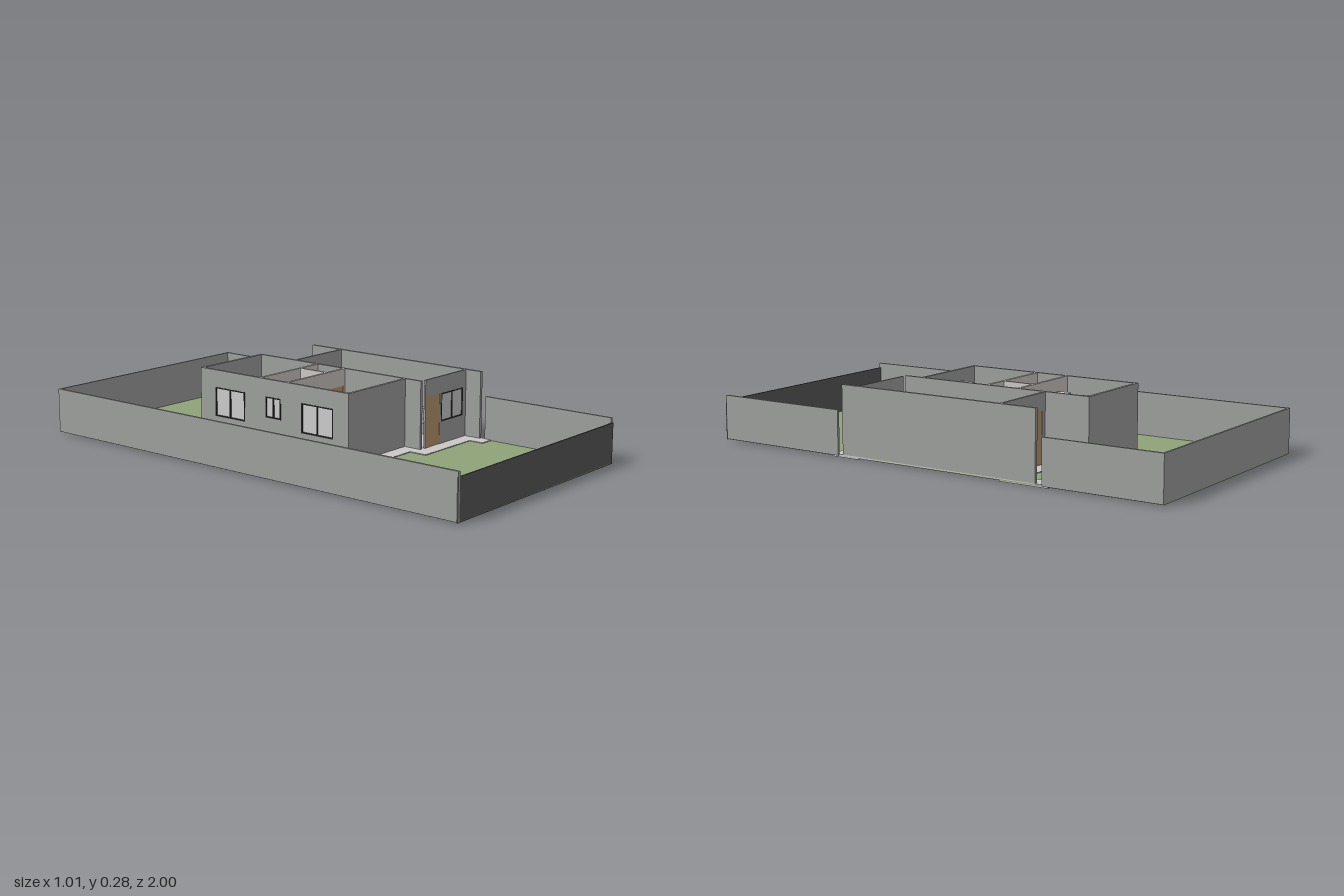
import * as THREE from 'three';

const mat = (name, color, side = THREE.FrontSide) => {
  const m = new THREE.MeshStandardMaterial({ color, side });
  m.name = name;
  return m;
};

export function createModel() {
  const model = new THREE.Group();
  model.name = 'walledHouse';
  const grass = mat('grass', 0x8fa378), concrete = mat('concrete', 0xc9c8c7);
  const gray = mat('wallGray', 0x9d9f9d), dark = mat('darkGray', 0x575759);
  const plaster = mat('plaster', 0xccc7c4), wood = mat('wood', 0xb8956c);
  const glass = mat('glass', 0xcbcbcb), black = mat('frameBlack', 0x2c2c2e);

  const H = 0.285, FENCE = 0.185, BASE = 0.006, HEAD = 0.215;

  // Box given by its minimum and maximum on each axis
  const box = (name, m, x0, x1, y0, y1, z0, z1, parent = model) => {
    const mesh = new THREE.Mesh(new THREE.BoxGeometry(x1 - x0, y1 - y0, z1 - z0), m);
    mesh.position.set((x0 + x1) / 2, (y0 + y1) / 2, (z0 + z1) / 2);
    mesh.name = name;
    parent.add(mesh);
    return mesh;
  };

  // Flat slab from an outline of x, z points
  const slab = (name, m, points, y0, y1) => {
    const shape = new THREE.Shape(points.map(([x, z]) => new THREE.Vector2(x, -z)));
    const geo = new THREE.ExtrudeGeometry(shape, { depth: y1 - y0, bevelEnabled: false });
    geo.rotateX(-Math.PI / 2);
    const mesh = new THREE.Mesh(geo, m);
    mesh.position.y = y0;
    mesh.name = name;
    model.add(mesh);
  };

  // Wall from a to b along x or z, with framed windows, doors and open doorways
  const wall = (name, m, axis, at, a, b, openings = [], thick = 0.012) => {
    const group = new THREE.Group();
    group.name = name;
    const shape = new THREE.Shape();
    shape.moveTo(a, BASE).lineTo(b, BASE).lineTo(b, H).lineTo(a, H).closePath();
    for (const o of openings) {
      const y0 = o.sill ?? 0.012, { from: u0, to: u1 } = o, f = 0.005;
      const hole = new THREE.Path();
      hole.moveTo(u0, y0).lineTo(u0, HEAD).lineTo(u1, HEAD).lineTo(u1, y0).closePath();
      shape.holes.push(hole);
      const d = thick / 2 + 0.001;
      if (o.kind === 'door') box('door', wood, u0, u1, y0, HEAD, -0.003, 0.003, group);
      if (o.kind === 'window') {
        const mid = (u0 + u1) / 2;
        box('windowGlass', glass, u0, u1, y0, HEAD, -0.002, 0.002, group);
        for (const u of [u0, mid - f / 2, u1 - f])
          box('windowFrame', black, u, u + f, y0, HEAD, -d, d, group);
        for (const y of [y0, HEAD - f])
          box('windowFrame', black, u0, u1, y, y + f, -d, d, group);
      }
    }
    const geo = new THREE.ExtrudeGeometry(shape, { depth: thick, bevelEnabled: false });
    geo.translate(0, 0, -thick / 2);
    const mesh = new THREE.Mesh(geo, m);
    mesh.name = name + 'Panel';
    group.add(mesh);
    if (axis === 'z') {
      group.rotation.y = -Math.PI / 2;
      group.position.x = at;
    } else group.position.z = at;
    model.add(group);
  };
  const win = (from, to, sill) => ({ kind: 'window', from, to, sill });
  const door = (from, to) => ({ kind: 'door', from, to });
  const gap = (from, to) => ({ kind: 'gap', from, to });

  // Lawn, pavement around the house, and indoor floor
  box('lawn', grass, -0.5, 0.5, 0.004, 0.008, -1, 1);
  const house = [[-0.165, -0.52], [0.2, -0.52], [0.2, -0.325], [0.5, -0.325],
    [0.5, 0.325], [0.2, 0.325], [0.2, 0.25], [-0.165, 0.25]];
  const outer = [[0.5, 0.452], [0.434, 0.452], [0.434, 0.39], [0.138, 0.39],
    [0.138, 0.315], [-0.225, 0.315], [-0.225, -0.575], [0.265, -0.575],
    [0.265, -0.39], [0.434, -0.39], [0.434, -0.535], [0.5, -0.535]];
  const inner = [3, 2, 1, 0, 7, 6, 5, 4].map(i => house[i]);
  slab('pavement', concrete, [...outer, ...inner], 0, 0.011);
  slab('indoorFloor', concrete, house, 0.006, 0.011);

  // Boundary walls
  box('leftFence', gray, -0.505, -0.495, BASE, FENCE, -1, 1);
  box('backFence', gray, -0.505, 0.505, BASE, FENCE, -1, -0.992);
  box('rightFrontFence', gray, 0.495, 0.505, BASE, FENCE, 0.42, 0.995);
  box('rightBackFence', gray, 0.495, 0.505, BASE, FENCE, -1, -0.51);
  box('frontGate', dark, -0.505, 0.505, 0.004, 0.165, 0.994, 1);
  box('tallSideWall', gray, 0.487, 0.5, BASE, H, -0.48, 0.4);

  // Outer house walls
  wall('leftWall', gray, 'z', -0.159, -0.52, 0.25,
    [win(-0.44, -0.28, 0.095), win(-0.17, -0.09, 0.13), win(0.015, 0.175, 0.095)]);
  wall('bedroomBackWall', gray, 'x', -0.514, -0.153, 0.188);
  wall('bedroomFrontWall', gray, 'x', 0.244, -0.153, 0.188);
  wall('middleWall', gray, 'z', 0.194, -0.52, 0.325, [gap(-0.19, -0.075)]);
  wall('livingBackWall', gray, 'x', -0.325, 0.2, 0.487, [door(0.22, 0.305), win(0.32, 0.46, 0.15)], 0.01);
  wall('livingFrontWall', gray, 'x', 0.325, 0.215, 0.487, [door(0.222, 0.31), win(0.32, 0.466, 0.1)], 0.008);

  // Inner partitions
  wall('backPartition', plaster, 'x', -0.203, -0.153, 0.188, [door(0.1, 0.18)]);
  wall('frontPartition', plaster, 'x', -0.062, -0.153, 0.188, [door(0.1, 0.18)]);
  wall('bathroomPartition', plaster, 'z', 0.083, -0.197, -0.068, [door(-0.17, -0.09)], 0.01);

  // Beds and wardrobes
  for (const z of [-0.5, 0.048 - 0.093]) {
    box('bedFrame', wood, -0.057, 0.087, 0.011, 0.04, z, z + 0.188);
    box('mattress', concrete, -0.057, 0.08, 0.04, 0.06, z, z + 0.188);
    box('bedRail', wood, 0.08, 0.087, 0.04, 0.062, z, z + 0.188);
  }
  for (const [x, z] of [[-0.08, -0.27], [-0.07, 0.185]]) {
    box('wardrobe', concrete, x, x + 0.165, 0.011, 0.235, z, z + 0.053);
    box('wardrobeDoors', wood, x, x + 0.165, 0.011, 0.23, z - 0.004, z);
  }

  // Bathroom, kitchen and living room furniture
  box('bathroomVanity', dark, -0.085, -0.022, 0.011, 0.09, -0.19, -0.143);
  box('kitchenCounter', dark, 0.425, 0.487, 0.011, 0.1, -0.285, 0.045 - 0.002);
  box('sink', concrete, 0.43, 0.477, 0.1, 0.103, -0.21, -0.167);
  box('sofaSeat', gray, 0.4, 0.462, 0.011, 0.055, 0.035, 0.245);
  box('sofaBack', gray, 0.462, 0.487, 0.011, 0.1, 0.035, 0.245);
  box('televisionStand', wood, 0.2, 0.25, 0.011, 0.06, 0.05, 0.212);
  box('television', black, 0.203, 0.212, 0.09, 0.16, 0.065, 0.198);

  return model;
}
